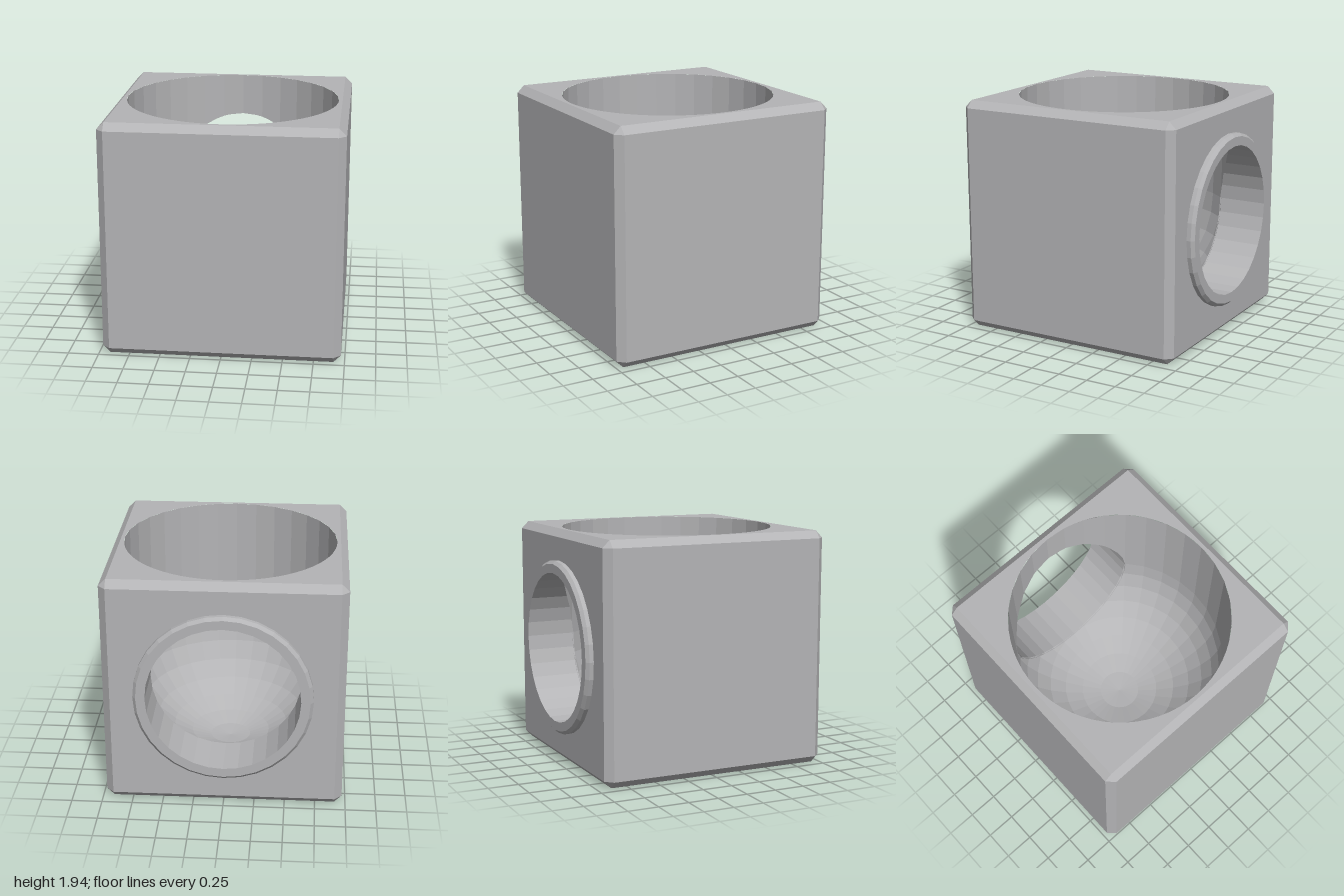
import * as THREE from 'three';
import { ConvexGeometry } from 'three/addons/geometries/ConvexGeometry.js';

const H = 0.97, F = 0.91;           // half size of the block, half size of its flat faces
const CY = 0.97, CZ = 0.03;         // centre of the block
const R = 0.88, r = 0.62;           // well radius, tunnel radius
const N = 32, STEP = (Math.PI * 2) / N;

const range = (n, f) => Array.from({ length: n }, (_, i) => f(i));

// Faceted geometry from a flat list of [x, y, z] triangle corners
function fromCorners(corners) {
  const g = new THREE.BufferGeometry();
  g.setAttribute('position', new THREE.Float32BufferAttribute(corners.flat(), 3));
  g.computeVertexNormals();
  return g;
}

// Triangles between successive rows of points
function loft(rows) {
  const out = [];
  for (let i = 0; i + 1 < rows.length; i++) {
    for (let j = 0; j + 1 < rows[i].length; j++) {
      const a = rows[i][j], b = rows[i][j + 1], c = rows[i + 1][j + 1], d = rows[i + 1][j];
      out.push(a, b, c, a, c, d);
    }
  }
  return out;
}

// Keep only the part of each triangle in front of the plane z = cut
function clipZ(corners, cut) {
  const out = [];
  for (let i = 0; i < corners.length; i += 3) {
    const tri = corners.slice(i, i + 3), poly = [];
    tri.forEach((p, k) => {
      const q = tri[(k + 1) % 3];
      if (p[2] >= cut) poly.push(p);
      if ((p[2] >= cut) !== (q[2] >= cut)) {
        const t = (cut - p[2]) / (q[2] - p[2]);
        poly.push(p.map((v, m) => v + (q[m] - v) * t));
      }
    });
    for (let k = 1; k + 1 < poly.length; k++) out.push(poly[0], poly[k], poly[k + 1]);
  }
  return out;
}

// Depth of the faceted well wall at a given x
function wallDepth(x) {
  const k = Math.floor(Math.asin(Math.max(-1, Math.min(1, x / R))) / STEP);
  const a = k * STEP, b = a + STEP;
  const t = (x / R - Math.sin(a)) / (Math.sin(b) - Math.sin(a));
  return R * (Math.cos(a) + (Math.cos(b) - Math.cos(a)) * t);
}

// Chamfered block, left open at the top and back
function blockGeometry() {
  const points = [];
  for (const x of [-1, 1]) for (const y of [-1, 1]) for (const z of [-1, 1]) {
    points.push(new THREE.Vector3(x * H, y * F, z * F), new THREE.Vector3(x * F, y * H, z * F),
      new THREE.Vector3(x * F, y * F, z * H));
  }
  const hull = new ConvexGeometry(points);
  const p = hull.attributes.position, n = hull.attributes.normal, corners = [];
  for (let i = 0; i < p.count; i += 3) {
    if (n.getY(i) > 0.9 || n.getZ(i) < -0.9) continue;
    for (let k = i; k < i + 3; k++) corners.push([p.getX(k), p.getY(k), p.getZ(k)]);
  }
  return fromCorners(corners).translate(0, CY, CZ);
}

// Square face with a round opening
function openFace(radius) {
  const s = new THREE.Shape([[-F, -F], [F, -F], [F, F], [-F, F]].map(([x, y]) => new THREE.Vector2(x, y)));
  const hole = new THREE.Path();
  hole.absarc(0, 0, radius, 0, Math.PI * 2, true);
  s.holes.push(hole);
  return new THREE.ShapeGeometry(s, N);
}

// Upright well wall, its back cut away over the tunnel
function wallGeometry() {
  const front = range(N / 2 + 1, (i) => {
    const a = -Math.PI / 2 + i * STEP;
    return [R * Math.sin(a), R * Math.cos(a), CY];
  });
  const xs = [...range(N / 2 + 1, (i) => R * Math.cos(i * STEP)),
    ...range(N / 2 + 1, (i) => r * Math.cos(i * STEP))]
    .sort((a, b) => b - a).filter((x, i, l) => i === 0 || l[i - 1] - x > 1e-6);
  const back = xs.map((x) => [x, -wallDepth(x), CY + Math.sqrt(Math.max(0, r * r - x * x))]);
  const cols = [...front, ...back.slice(1)];
  return fromCorners(loft([
    cols.map(([x, z]) => [x, CY + H, z + CZ]),
    cols.map(([x, z, low]) => [x, low, z + CZ]),
  ]));
}

// Rounded bottom of the well, cut flat where the tunnel enters
function bowlGeometry() {
  const rows = range(9, (i) => {
    const e = (i / 8) * Math.PI / 2;
    return range(N + 1, (j) => [R * Math.cos(e) * Math.sin(j * STEP), CY - R * Math.sin(e),
      CZ + R * Math.cos(e) * Math.cos(j * STEP)]);
  });
  return fromCorners(clipZ(loft(rows), CZ - Math.sqrt(R * R - r * r)));
}

// Circle of points around the tunnel axis
const ring = (radius, z) => range(N + 1, (j) =>
  [radius * Math.cos(j * STEP), CY + radius * Math.sin(j * STEP), z]);

export function createModel() {
  const group = new THREE.Group();
  const grey = new THREE.MeshStandardMaterial({ color: 0xb4b4b6 });
  grey.name = 'grey';
  const add = (name, geometry) => {
    const mesh = new THREE.Mesh(geometry, grey);
    mesh.name = name;
    group.add(mesh);
  };

  add('block', blockGeometry());
  add('topFace', openFace(R).rotateX(-Math.PI / 2).translate(0, CY + H, CZ));
  add('backFace', openFace(0.715).rotateY(Math.PI).translate(0, CY, CZ - H));
  add('wellWall', wallGeometry());
  add('wellBowl', bowlGeometry());

  // Tunnel from the well to the back, ending on the wall above and the bowl below
  const inner = ring(r, 0).map(([x, y]) =>
    [x, y, CZ - (y > CY + 1e-6 ? wallDepth(x) : Math.sqrt(R * R - r * r) - 0.012)]);
  add('tunnel', fromCorners(loft([inner, ring(r, -1)])));

  // Raised bevelled collar around the tunnel mouth
  add('collar', fromCorners(loft([ring(r, -1), ring(0.695, -1), ring(0.72, -0.975), ring(0.72, CZ - H)])));
  return group;
}
